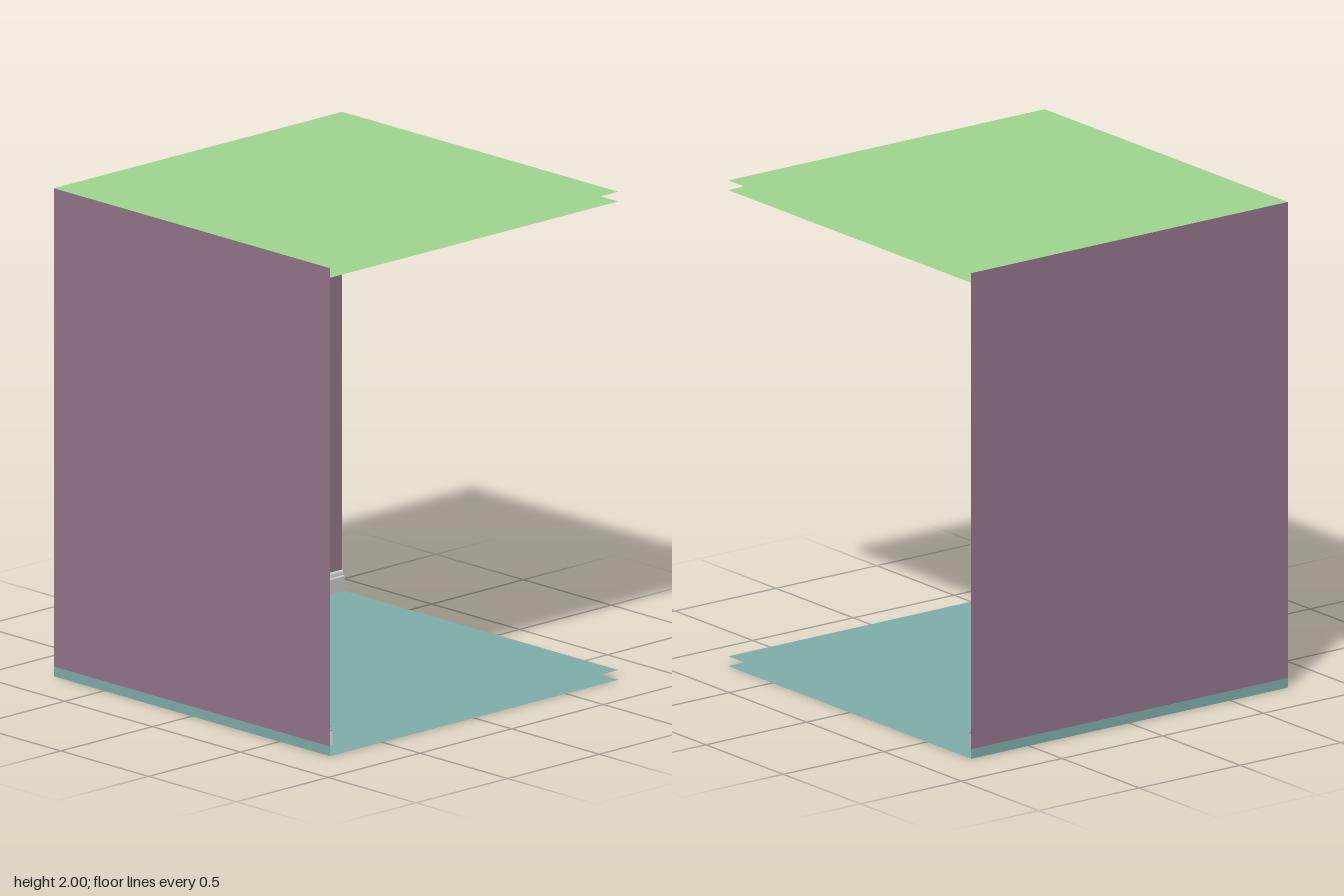
import * as THREE from 'three';

const H = 0.786;      // half width of the room
const FLOOR = 0.04;   // slab thickness
const TOP = 2;

const paint = (color) => new THREE.MeshStandardMaterial({ color, side: THREE.DoubleSide });

// Sweep an [inset, height] profile along the two walls, mitred in the corner.
function sweepWalls(name, profile, material) {
  const stations = [
    (d, y) => [-H + d, y, H],
    (d, y) => [-H + d, y, -H + d],
    (d, y) => [H, y, -H + d],
  ];
  const pos = [];
  for (let i = 0; i < 2; i++) {
    for (let j = 0; j < profile.length - 1; j++) {
      const a = stations[i](...profile[j]);
      const b = stations[i + 1](...profile[j]);
      const c = stations[i + 1](...profile[j + 1]);
      const d = stations[i](...profile[j + 1]);
      pos.push(...a, ...b, ...c, ...a, ...c, ...d);
    }
  }
  const geo = new THREE.BufferGeometry();
  geo.setAttribute('position', new THREE.Float32BufferAttribute(pos, 3));
  geo.computeVertexNormals();
  const mesh = new THREE.Mesh(geo, material);
  mesh.name = name;
  return mesh;
}

// Horizontal square sheet at height y
function sheet(name, y, material, facesUp) {
  const geo = new THREE.PlaneGeometry(2 * H, 2 * H);
  geo.rotateX(facesUp ? -Math.PI / 2 : Math.PI / 2);
  const mesh = new THREE.Mesh(geo, material);
  mesh.position.y = y;
  mesh.name = name;
  return mesh;
}

export function createModel() {
  const room = new THREE.Group();
  room.name = 'roomCorner';
  const purple = paint(0x94768a);
  const teal = paint(0x7eaea9);
  const green = paint(0x9fd68f);
  const grey = paint(0xcccccc);

  // Floor slab: two sheets, closed only along the walls
  const floor = new THREE.Group();
  floor.name = 'floor';
  floor.add(
    sheet('floorTop', FLOOR, teal, true),
    sheet('floorUnderside', 0, teal, false),
    sweepWalls('floorEdge', [[0, 0], [0, FLOOR]], teal),
  );

  // Ceiling slab: two sheets, open at the front and left
  const ceiling = new THREE.Group();
  ceiling.name = 'ceiling';
  ceiling.add(
    sheet('ceilingTop', TOP, green, true),
    sheet('ceilingUnderside', TOP - FLOOR, green, false),
  );

  // Back and right walls
  const walls = sweepWalls('walls', [[0, FLOOR], [0, TOP]], purple);

  // Moulded skirting board along both walls
  const skirting = sweepWalls('skirting', [
    [0.014, FLOOR], [0.014, 0.1], [0.009, 0.105], [0.007, 0.118], [0, 0.125],
  ], grey);

  room.add(floor, ceiling, walls, skirting);
  return room;
}
